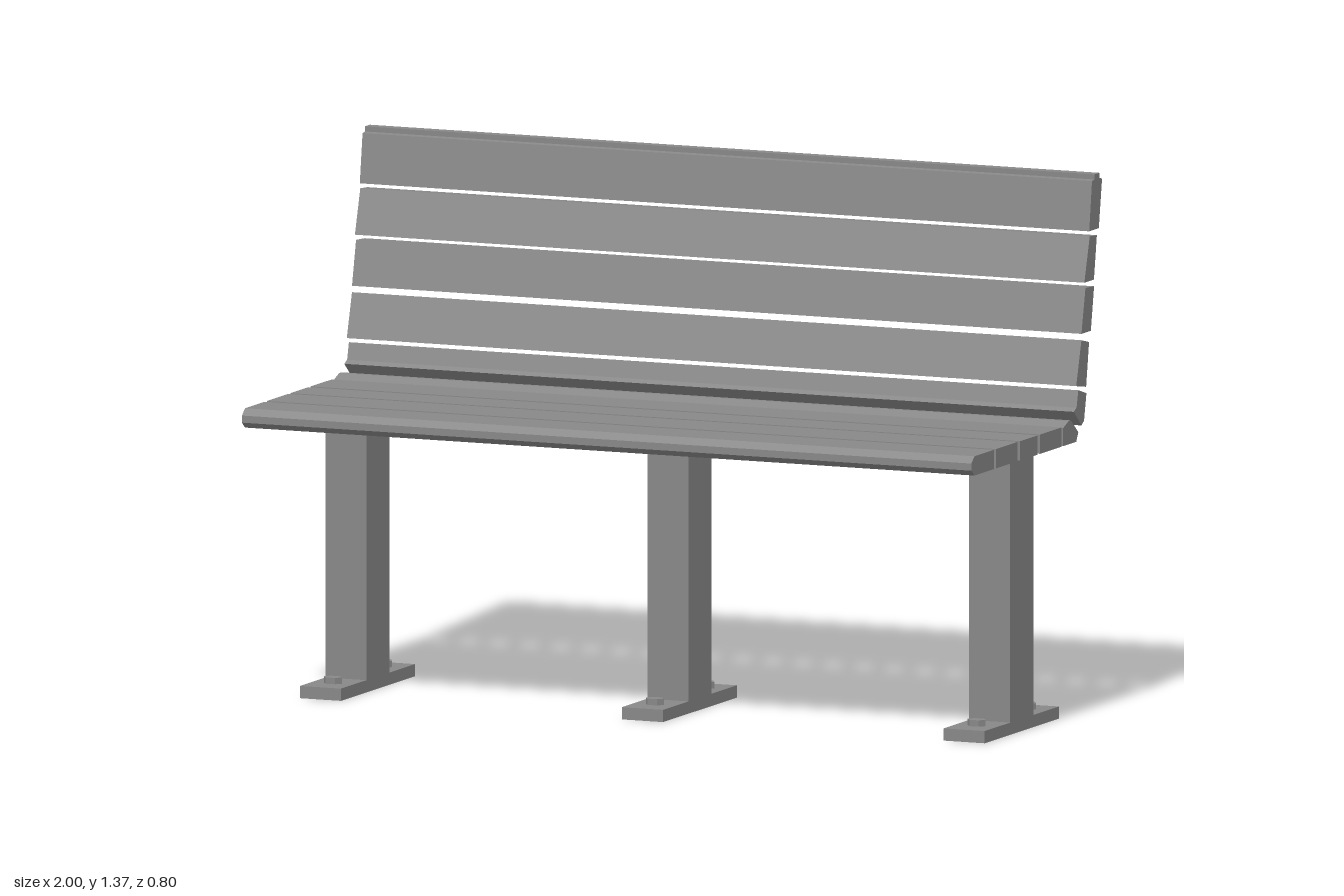
import * as THREE from 'three';

const material = new THREE.MeshStandardMaterial({ color: 0x888888, flatShading: true });

// Slat end profiles as [depth towards the back, height]
const seatSlats = [
  [[-0.402, 0.724], [-0.402, 0.742], [-0.383, 0.758], [-0.264, 0.758], [-0.264, 0.709], [-0.383, 0.709]],
  [[-0.249, 0.758], [-0.117, 0.758], [-0.117, 0.709], [-0.249, 0.709]],
  [[-0.103, 0.758], [0.006, 0.758], [0.006, 0.709], [-0.103, 0.709]],
  [[0.021, 0.758], [0.152, 0.758], [0.152, 0.709], [0.021, 0.709]],
  [[0.163, 0.755], [0.196, 0.768], [0.21, 0.768], [0.256, 0.732], [0.243, 0.709], [0.163, 0.709]],
];
const backSlats = [
  [[0.256, 0.838], [0.306, 0.824], [0.291, 0.756], [0.276, 0.746], [0.228, 0.787], [0.245, 0.795]],
  [[0.275, 0.962], [0.322, 0.951], [0.304, 0.84], [0.243, 0.85]],
  [[0.3, 1.091], [0.353, 1.088], [0.333, 0.978], [0.275, 0.978]],
  [[0.326, 1.218], [0.37, 1.215], [0.352, 1.105], [0.293, 1.105]],
  [[0.34, 1.356], [0.355, 1.358], [0.355, 1.371], [0.385, 1.371], [0.385, 1.358], [0.402, 1.354],
    [0.382, 1.231], [0.323, 1.231]],
];

function addSlat(group, name, profile) {
  const shape = new THREE.Shape(profile.map(([d, y]) => new THREE.Vector2(d, y)));
  const geometry = new THREE.ExtrudeGeometry(shape, { depth: 2, bevelEnabled: false });
  geometry.translate(0, 0, -1).rotateY(Math.PI / 2);
  const mesh = new THREE.Mesh(geometry, material);
  mesh.name = name;
  group.add(mesh);
}

function addBox(group, name, [w, h, d], [x, y, z]) {
  const mesh = new THREE.Mesh(new THREE.BoxGeometry(w, h, d), material);
  mesh.name = name;
  mesh.position.set(x, y, z);
  group.add(mesh);
}

function makeLeg(x) {
  const leg = new THREE.Group();
  leg.name = 'leg';
  leg.position.x = x;
  addBox(leg, 'post', [0.113, 0.68, 0.142], [0, 0.371, -0.046]);
  addBox(leg, 'basePlate', [0.113, 0.031, 0.456], [0, 0.0155, -0.046]);
  // Hexagonal anchor bolts
  for (const [z, depth] of [[0.105, 0.75], [-0.204, 1]]) {
    const geometry = new THREE.CylinderGeometry(0.025, 0.025, 0.018, 6).rotateY(Math.PI / 2);
    const bolt = new THREE.Mesh(geometry, material);
    bolt.name = 'bolt';
    bolt.scale.z = depth;
    bolt.position.set(0, 0.038, z);
    leg.add(bolt);
  }
  return leg;
}

export function createModel() {
  const bench = new THREE.Group();
  bench.name = 'bench';

  const seat = new THREE.Group();
  seat.name = 'seat';
  seatSlats.forEach((p) => addSlat(seat, 'seatSlat', p));
  // Thin rail in the gap between the slats over the posts
  addBox(seat, 'seatRail', [1.88, 0.044, 0.008], [0, 0.733, -0.009]);

  const backrest = new THREE.Group();
  backrest.name = 'backrest';
  backSlats.forEach((p) => addSlat(backrest, 'backSlat', p));

  bench.add(seat, backrest);
  for (const x of [-0.883, 0, 0.882]) bench.add(makeLeg(x));
  return bench;
}
